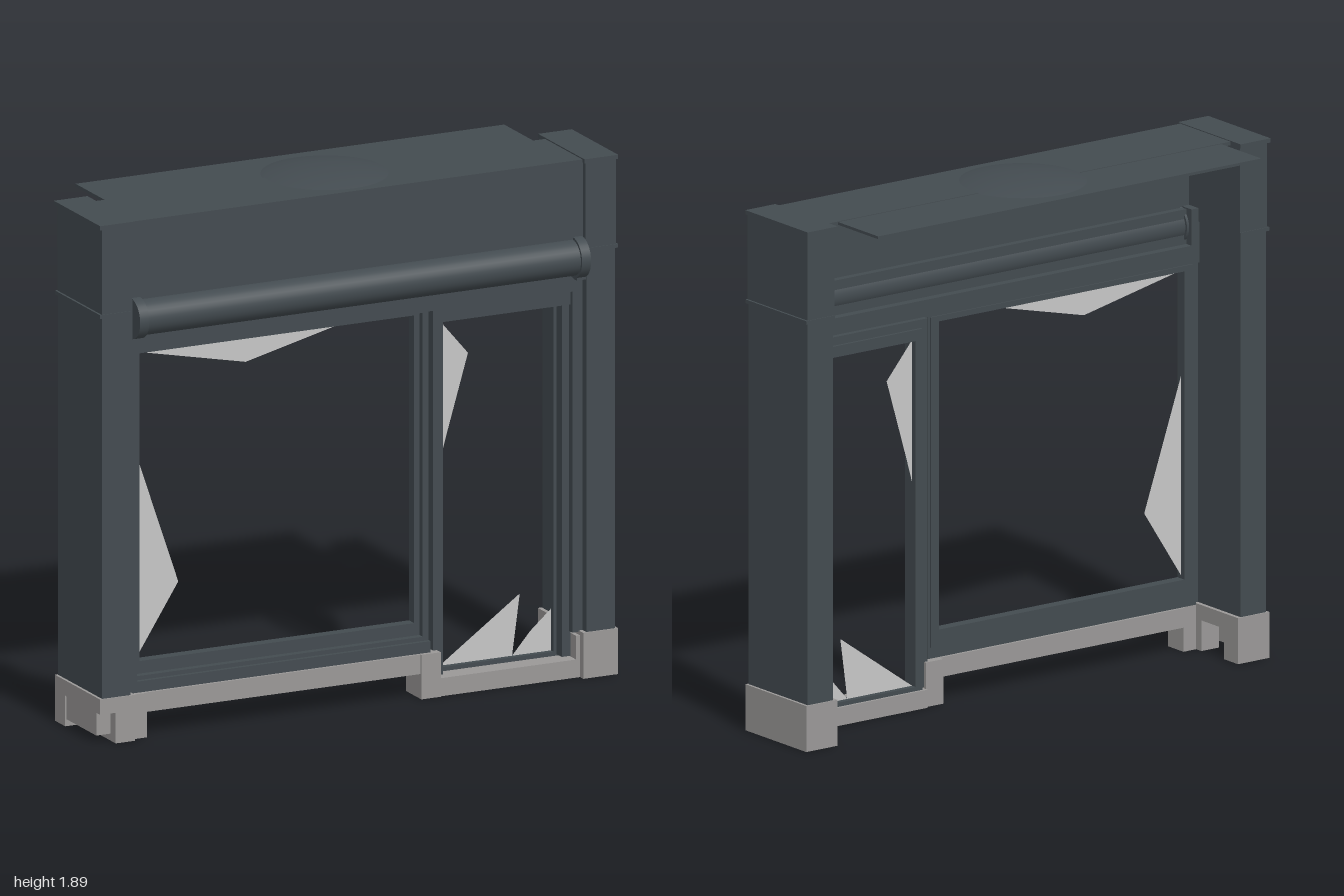
import * as THREE from 'three';

export function createModel() {
  const model = new THREE.Group();
  model.name = 'shopFront';
  const mat = (name, color, side = THREE.FrontSide) => {
    const m = new THREE.MeshStandardMaterial({ color, side });
    m.name = name;
    return m;
  };
  const slate = mat('slatePaint', 0x434b50);
  const stone = mat('paleStone', 0x9a9897);
  const glass = mat('brokenGlass', 0xc6c6c6, THREE.DoubleSide);

  const add = (name, geo, material) => {
    const mesh = new THREE.Mesh(geo, material);
    mesh.name = name;
    model.add(mesh);
    return mesh;
  };
  // box from its limits on each axis
  const box = (name, m, x0, x1, y0, y1, z0, z1) => {
    const g = new THREE.BoxGeometry(x1 - x0, y1 - y0, z1 - z0);
    g.translate((x0 + x1) / 2, (y0 + y1) / 2, (z0 + z1) / 2);
    return add(name, g, m);
  };
  // rectangular frame with a rectangular hole; o and i are [x0, x1, y0, y1]
  const rect = (path, [x0, x1, y0, y1]) =>
    path.moveTo(x0, y0).lineTo(x1, y0).lineTo(x1, y1).lineTo(x0, y1).lineTo(x0, y0);
  const frame = (name, o, i, z0, z1) => {
    const shape = new THREE.Shape();
    rect(shape, o);
    const hole = new THREE.Path();
    rect(hole, i);
    shape.holes.push(hole);
    const g = new THREE.ExtrudeGeometry(shape, { depth: z1 - z0, bevelEnabled: false });
    g.translate(0, 0, z0);
    add(name, g, slate);
  };

  // pillars with a band and cap, mirrored
  for (const s of [-1, 1]) {
    const side = s < 0 ? 'right' : 'left';
    const mbox = (name, m, a, b, ...rest) =>
      box(side + name, m, Math.min(s * a, s * b), Math.max(s * a, s * b), ...rest);
    mbox('Pillar', slate, 0.88, 0.99, 0.16, 1.54, -0.105, 0.235);
    mbox('PillarHead', slate, 0.875, 0.992, 1.54, 1.85, -0.107, 0.237);
    mbox('PillarBand', slate, 0.875, 1, 1.532, 1.545, -0.11, 0.24);
    mbox('PillarCap', slate, 0.87, 1, 1.85, 1.865, -0.118, 0.24);
    mbox('Casing', slate, 0.84, 0.885, 0.16, 1.45, 0.14, 0.205);
    mbox('RollBracket', slate, 0.845, 0.88, 1.43, 1.58, 0.13, 0.23);
    // rounded end of the awning roll
    const cap = new THREE.CylinderGeometry(0.073, 0.073, 0.035, 32);
    cap.rotateZ(Math.PI / 2);
    cap.translate(s * 0.853, 1.512, 0.217);
    add(side + 'RollEnd', cap, slate);
  }

  // stone bases
  box('leftBase', stone, 0.865, 1, 0, 0.165, -0.11, 0.24);
  box('rightBaseBack', stone, -1, -0.865, 0, 0.165, -0.11, -0.03);
  box('rightBaseTop', stone, -1, -0.865, 0.11, 0.165, -0.03, 0.24);
  box('rightBaseCore', stone, -0.995, -0.94, 0.025, 0.11, -0.03, 0.2);
  box('rightBaseFoot', stone, -0.94, -0.865, 0, 0.11, 0.1, 0.24);
  box('rightInnerFoot', stone, -0.865, -0.81, 0, 0.16, 0.13, 0.22);
  box('windowPlinth', stone, -0.81, 0.25, 0.09, 0.16, 0.12, 0.215);
  box('mullionFoot', stone, 0.25, 0.325, 0, 0.16, 0.1, 0.22);
  box('doorSill', stone, 0.325, 0.865, 0, 0.065, 0.09, 0.215);
  box('leftInnerFoot', stone, 0.85, 0.865, 0.065, 0.15, 0.12, 0.215);

  // window: stepped frames
  frame('windowOuterFrame', [-0.865, 0.293, 0.16, 1.39], [-0.835, 0.27, 0.215, 1.378], 0.13, 0.19);
  frame('windowInnerFrame', [-0.845, 0.285, 0.2, 1.385], [-0.81, 0.25, 0.26, 1.365], 0.125, 0.165);
  box('windowSillMoulding', slate, -0.865, 0.293, 0.16, 0.2, 0.165, 0.205);

  // door: stepped frames, jambs
  frame('doorInnerFrame', [0.34, 0.835, 0.065, 1.36], [0.37, 0.8, 0.08, 1.32], 0.1, 0.14);
  box('doorJamb', slate, 0.31, 0.348, 0.07, 1.39, 0.11, 0.19);
  box('doorOuterJamb', slate, 0.812, 0.845, 0.07, 1.39, 0.11, 0.18);
  box('doorHead', slate, 0.31, 0.845, 1.335, 1.39, 0.11, 0.19);

  // beam, awning roll and fascia
  box('lintel', slate, -0.885, 0.885, 1.385, 1.45, 0.13, 0.205);
  box('rollBacking', slate, -0.85, 0.85, 1.45, 1.575, 0.16, 0.185);
  const roll = new THREE.CylinderGeometry(0.064, 0.064, 1.68, 32);
  roll.rotateZ(Math.PI / 2);
  roll.translate(0, 1.512, 0.217);
  add('awningRoll', roll, slate);
  box('fascia', slate, -0.88, 0.88, 1.575, 1.85, 0.185, 0.218);

  // roof slab and its shallow dome
  box('roofSlab', slate, -0.83, 0.825, 1.85, 1.86, -0.29, 0.225);
  box('roofEdge', slate, -0.872, 0.868, 1.849, 1.862, -0.06, 0.228);
  const profile = [[0.225, 0], [0.2, 0.007], [0.15, 0.016], [0.1, 0.022], [0.05, 0.025], [0, 0.026]];
  const dome = new THREE.LatheGeometry(profile.map(([r, y]) => new THREE.Vector2(r, y)), 40);
  dome.translate(0, 1.86, -0.02);
  add('roofDome', dome, slate);

  // glass shards left in the openings
  const shard = (name, z, pts) => {
    const g = new THREE.ShapeGeometry(new THREE.Shape(pts.map(([x, y]) => new THREE.Vector2(x, y))));
    g.translate(0, 0, z);
    add(name, g, glass);
  };
  shard('windowShardTop', 0.143, [[-0.81, 1.365], [-0.39, 1.275], [-0.02, 1.365]]);
  shard('windowShardSide', 0.143, [[-0.81, 0.99], [-0.81, 0.27], [-0.65, 0.52]]);
  shard('doorShardSide', 0.12, [[0.37, 1.32], [0.37, 0.81], [0.395, 0.9], [0.48, 1.19]]);
  shard('doorShardBottom', 0.12, [[0.37, 0.08], [0.65, 0.08], [0.68, 0.3]]);
  shard('doorShardCorner', 0.12, [[0.65, 0.08], [0.8, 0.08], [0.8, 0.23], [0.72, 0.16]]);

  return model;
}
